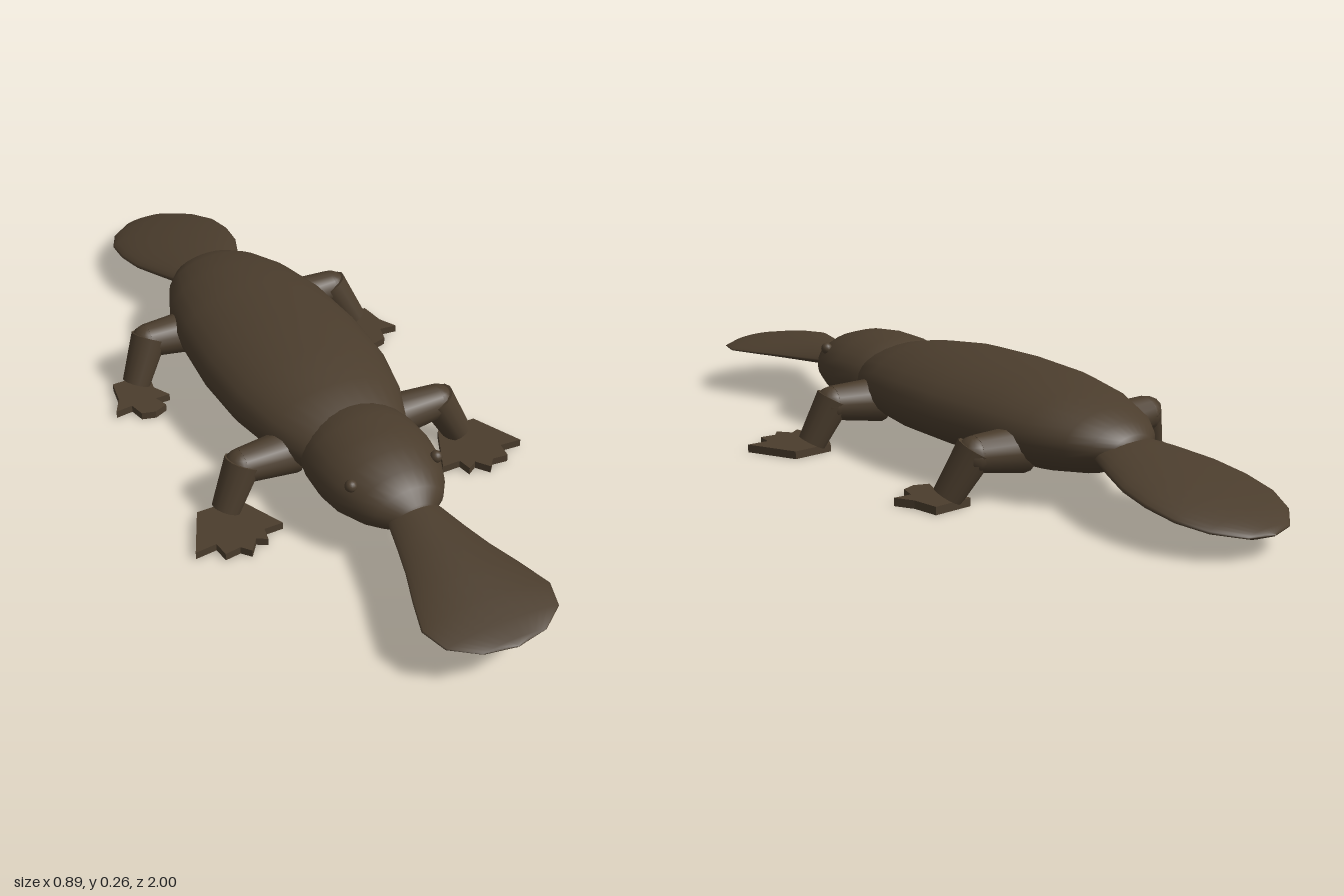
import * as THREE from 'three';

const fur = new THREE.MeshStandardMaterial({ color: 0x4b3d2d });
fur.name = 'dark brown fur';

function add(parent, name, geometry) {
  const mesh = new THREE.Mesh(geometry, fur);
  mesh.name = name;
  parent.add(mesh);
  return mesh;
}

// Skin over rings listed back to front: [z, centre y, half width, height above, height below].
// power 1 gives an oval section, 2 a lens with thin side edges.
function loft(rings, power = 1, n = 28) {
  const pos = [], index = [];
  for (const [z, y, w, up, down] of rings) {
    for (let j = 0; j < n; j++) {
      const a = (j / n) * Math.PI * 2, s = Math.sin(a);
      const lift = Math.sign(s) * Math.pow(Math.abs(s), power);
      pos.push(w * Math.cos(a), y + lift * (s > 0 ? up : down), z);
    }
  }
  for (let i = 0; i < rings.length - 1; i++) {
    for (let j = 0; j < n; j++) {
      const k = (j + 1) % n;
      const a = i * n + j, b = i * n + k, c = b + n, d = a + n;
      index.push(a, b, d, b, c, d);
    }
  }
  const g = new THREE.BufferGeometry();
  g.setAttribute('position', new THREE.Float32BufferAttribute(pos, 3));
  g.setIndex(index);
  g.computeVertexNormals();
  return g;
}

// Tapered limb between two points
function limb(parent, name, from, to, r0, r1) {
  const a = new THREE.Vector3(...from), b = new THREE.Vector3(...to);
  const dir = b.clone().sub(a);
  const mesh = add(parent, name, new THREE.CylinderGeometry(r1, r0, dir.length(), 14));
  mesh.position.copy(a).lerp(b, 0.5);
  mesh.quaternion.setFromUnitVectors(new THREE.Vector3(0, 1, 0), dir.normalize());
}

// Flat webbed foot from an outline in x and z
function foot(outline, side) {
  const shape = new THREE.Shape(outline.map(([x, z]) => new THREE.Vector2(x * side, z)));
  const g = new THREE.ExtrudeGeometry(shape, { depth: 0.02, bevelEnabled: false });
  g.rotateX(Math.PI / 2);
  g.translate(0, 0.02, 0);
  return g;
}

const FRONT_FOOT = [[0.28, 0.21], [0.385, 0.21], [0.445, 0.335], [0.39, 0.33], [0.385, 0.37],
  [0.345, 0.365], [0.325, 0.388], [0.3, 0.355], [0.275, 0.37], [0.268, 0.335], [0.22, 0.335]];
const REAR_FOOT = [[0.275, -0.34], [0.375, -0.34], [0.385, -0.275], [0.41, -0.23], [0.365, -0.235],
  [0.355, -0.195], [0.32, -0.185], [0.285, -0.2], [0.298, -0.235], [0.26, -0.235], [0.285, -0.28]];

export function createModel() {
  const model = new THREE.Group();
  model.name = 'swimmingAnimal';

  add(model, 'body', loft([
    [-0.588, 0.145, 0.001, 0.001, 0.001],
    [-0.58, 0.143, 0.06, 0.028, 0.028],
    [-0.55, 0.142, 0.1, 0.052, 0.052],
    [-0.5, 0.143, 0.138, 0.074, 0.076],
    [-0.4, 0.145, 0.18, 0.1, 0.094],
    [-0.27, 0.15, 0.208, 0.11, 0.104],
    [-0.1, 0.152, 0.221, 0.113, 0.111],
    [0.05, 0.152, 0.214, 0.111, 0.111],
    [0.18, 0.15, 0.185, 0.098, 0.104],
    [0.28, 0.147, 0.145, 0.08, 0.085],
    [0.36, 0.145, 0.07, 0.04, 0.04],
    [0.38, 0.145, 0.001, 0.001, 0.001],
  ]));

  add(model, 'head', loft([
    [0.16, 0.14, 0.001, 0.001, 0.001],
    [0.19, 0.14, 0.08, 0.055, 0.055],
    [0.24, 0.14, 0.135, 0.091, 0.088],
    [0.31, 0.14, 0.15, 0.099, 0.095],
    [0.38, 0.14, 0.153, 0.1, 0.095],
    [0.44, 0.14, 0.144, 0.094, 0.088],
    [0.5, 0.14, 0.118, 0.076, 0.072],
    [0.54, 0.14, 0.09, 0.056, 0.054],
    [0.57, 0.14, 0.05, 0.03, 0.03],
    [0.58, 0.14, 0.001, 0.001, 0.001],
  ]));

  add(model, 'bill', loft([
    [0.5, 0.135, 0.05, 0.03, 0.02],
    [0.57, 0.133, 0.07, 0.031, 0.02],
    [0.64, 0.129, 0.088, 0.031, 0.021],
    [0.71, 0.126, 0.108, 0.03, 0.021],
    [0.79, 0.123, 0.137, 0.027, 0.02],
    [0.87, 0.12, 0.162, 0.022, 0.018],
    [0.935, 0.118, 0.142, 0.016, 0.014],
    [0.98, 0.117, 0.08, 0.009, 0.01],
    [0.995, 0.117, 0.001, 0.002, 0.002],
  ], 1.5));

  add(model, 'tail', loft([
    [-1, 0.052, 0.001, 0.002, 0.002],
    [-0.985, 0.055, 0.065, 0.011, 0.009],
    [-0.93, 0.065, 0.125, 0.02, 0.015],
    [-0.86, 0.078, 0.157, 0.028, 0.022],
    [-0.78, 0.092, 0.163, 0.033, 0.029],
    [-0.7, 0.105, 0.152, 0.036, 0.032],
    [-0.62, 0.118, 0.122, 0.036, 0.033],
    [-0.55, 0.127, 0.09, 0.035, 0.032],
    [-0.5, 0.133, 0.06, 0.025, 0.025],
  ], 1.2));

  for (const side of [1, -1]) {
    const label = side > 0 ? 'left' : 'right';

    // Eye
    const eye = add(model, label + 'Eye', new THREE.SphereGeometry(0.015, 14, 10));
    eye.position.set(side * 0.112, 0.193, 0.465);

    // Legs: shoulder, elbow joint, lower leg and webbed foot
    const legs = [
      ['FrontLeg', 0.205, 0.215, 0.235, FRONT_FOOT],
      ['RearLeg', -0.35, -0.345, -0.312, REAR_FOOT],
    ];
    for (const [name, zTop, zMid, zLow, outline] of legs) {
      const leg = new THREE.Group();
      leg.name = label + name;
      limb(leg, 'upperLeg', [side * 0.13, 0.112, zTop], [side * 0.272, 0.124, zMid], 0.057, 0.043);
      const joint = add(leg, 'joint', new THREE.SphereGeometry(0.044, 14, 10));
      joint.position.set(side * 0.268, 0.122, zMid);
      limb(leg, 'lowerLeg', [side * 0.264, 0.135, zMid], [side * 0.32, 0.026, zLow], 0.046, 0.036);
      add(leg, 'webbedFoot', foot(outline, side));
      model.add(leg);
    }
  }
  return model;
}
